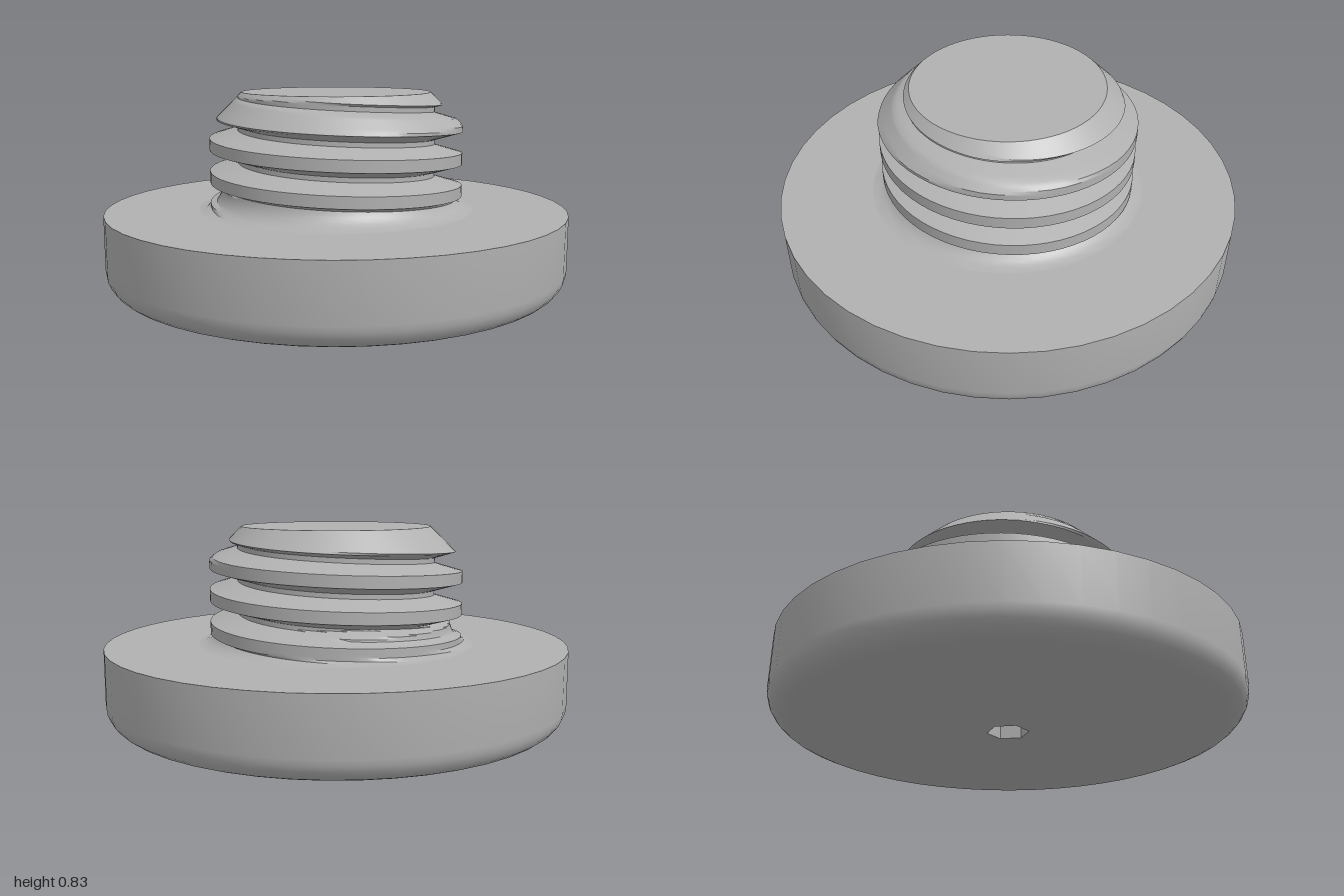
import * as THREE from 'three';
import { toCreasedNormals } from 'three/addons/utils/BufferGeometryUtils.js';

const TAU = Math.PI * 2;
const PITCH = 0.14, CREST = 0.55, ROOT = 0.43;
const BASE_Y = 0.33, TOP_Y = 0.835, TOP_R = 0.41;
const SEGMENTS = 64;

// Half-profile of one thread turn, measured from the crest centre
const CREST_HALF = 0.025, ROOT_START = 0.06;

// Stud radius at height y and angle phi: left-hand helix, base fillet, top chamfer
function studRadius(y, phi) {
  const turn = (y - 0.55) / PITCH - phi / TAU;
  const d = Math.abs(turn - Math.round(turn)) * PITCH;
  const t = THREE.MathUtils.clamp((d - CREST_HALF) / (ROOT_START - CREST_HALF), 0, 1);
  const thread = THREE.MathUtils.lerp(CREST, ROOT, t);
  const fillet = y < 0.42
    ? 0.6 - Math.sqrt(Math.max(0, 0.01 - (0.43 - y) ** 2))
    : 0.5 - (y - 0.42) * 3.5;
  return Math.min(Math.max(thread, fillet), TOP_R + TOP_Y - y);
}

// Rows follow the helix so that the thread edges stay crisp
function threadGeometry() {
  const corners = [-CREST_HALF, CREST_HALF, ROOT_START, PITCH - ROOT_START, PITCH - CREST_HALF];
  const rows = [];
  for (let k = -3; k <= 2; k++) {
    for (let c = 0; c < 4; c++) {
      for (let s = 0; s < 4; s++) {
        rows.push(0.55 + k * PITCH + THREE.MathUtils.lerp(corners[c], corners[c + 1], s / 4));
      }
    }
  }
  const point = (i, j) => {
    const phi = i / SEGMENTS * TAU;
    const y = THREE.MathUtils.clamp(rows[j] + PITCH * i / SEGMENTS, BASE_Y, TOP_Y);
    const r = studRadius(y, phi);
    return new THREE.Vector3(r * Math.cos(phi), y, r * Math.sin(phi));
  };
  const positions = [];
  const triangle = (a, b, c) => {
    const area = b.clone().sub(a).cross(c.clone().sub(a)).length();
    if (area > 1e-8) for (const p of [a, b, c]) positions.push(p.x, p.y, p.z);
  };
  for (let i = 0; i < SEGMENTS; i++) {
    for (let j = 0; j < rows.length - 1; j++) {
      const a = point(i, j), b = point(i, j + 1), c = point(i + 1, j + 1), d = point(i + 1, j);
      triangle(a, b, c);
      triangle(a, c, d);
    }
  }
  const g = new THREE.BufferGeometry();
  g.setAttribute('position', new THREE.Float32BufferAttribute(positions, 3));
  return toCreasedNormals(g, 0.5);
}

export function createModel() {
  const group = new THREE.Group();
  const grey = new THREE.MeshStandardMaterial({ color: 0xb0b0b0, side: THREE.DoubleSide });
  grey.name = 'plain grey';
  const add = (name, geometry) => {
    const mesh = new THREE.Mesh(geometry, grey);
    mesh.name = name;
    group.add(mesh);
    return mesh;
  };

  // Wide round head with a rounded lower rim
  const profile = [];
  for (let i = 0; i <= 6; i++) {
    const a = i / 6 * Math.PI / 2;
    profile.push(new THREE.Vector2(0.9 + 0.1 * Math.sin(a), 0.1 - 0.1 * Math.cos(a)));
  }
  profile.push(new THREE.Vector2(1, BASE_Y), new THREE.Vector2(0.55, BASE_Y));
  add('head', toCreasedNormals(new THREE.LatheGeometry(profile, 48), 0.6));

  // Flat underside with a small hexagonal opening
  const ring = (radius, sides) => Array.from({ length: sides }, (_, i) => {
    const a = Math.PI / 2 + i / sides * TAU;
    return new THREE.Vector2(radius * Math.cos(a), radius * Math.sin(a));
  });
  const disc = new THREE.Shape(ring(0.9, 48));
  disc.holes.push(new THREE.Path(ring(0.09, 6)));
  add('underside', new THREE.ShapeGeometry(disc).rotateX(Math.PI / 2));

  // Hexagonal socket
  const depth = 0.2;
  const walls = new THREE.CylinderGeometry(0.09, 0.09, depth, 6, 1, true).translate(0, depth / 2, 0);
  add('socketWalls', toCreasedNormals(walls, 0.5));
  add('socketFloor', new THREE.CircleGeometry(0.09, 6, Math.PI / 2).rotateX(Math.PI / 2).translate(0, depth, 0));

  // Threaded stud and its flat end
  add('threadedStud', threadGeometry());
  add('studEnd', new THREE.CircleGeometry(TOP_R, SEGMENTS).rotateX(-Math.PI / 2).translate(0, TOP_Y, 0));

  return group;
}
